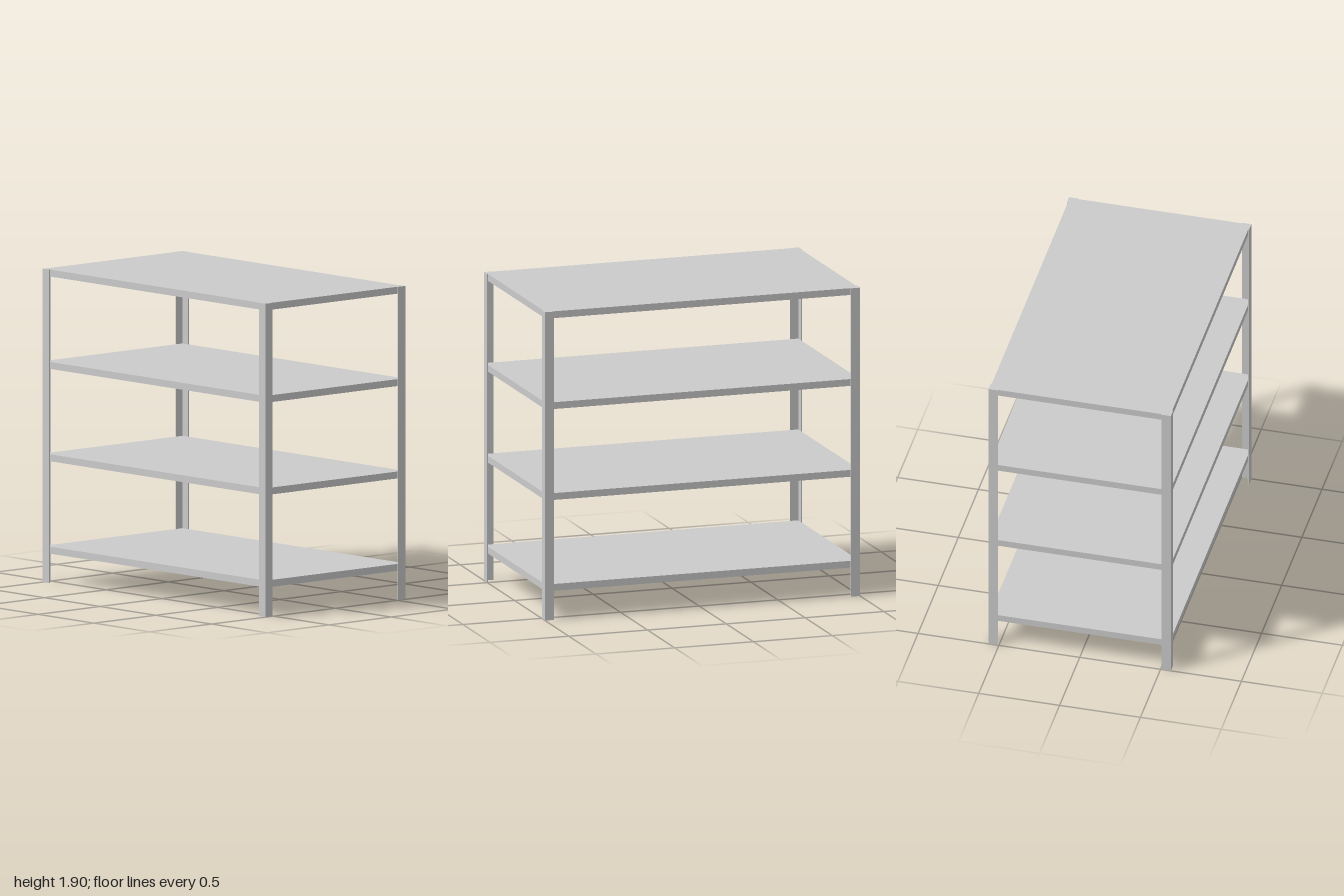
import * as THREE from 'three';

const HALF_W = 1, HALF_D = 0.564, HEIGHT = 1.9;
const FLANGE = 0.058, GAUGE = 0.006, SHELF_T = 0.042;

export function createModel() {
  const group = new THREE.Group();
  group.name = 'shelvingUnit';
  const material = new THREE.MeshStandardMaterial({ color: 0xcccccc, flatShading: true });

  // L-shaped angle section for a corner post, heel at the outer corner
  function postGeometry(sx, sz) {
    const section = [[0, 0], [FLANGE, 0], [FLANGE, GAUGE], [GAUGE, GAUGE], [GAUGE, FLANGE], [0, FLANGE]];
    const shape = new THREE.Shape(section.map(([a, b]) =>
      new THREE.Vector2(sx * (HALF_W - a), -sz * (HALF_D - b))));
    const geometry = new THREE.ExtrudeGeometry(shape, { depth: HEIGHT, bevelEnabled: false });
    return geometry.rotateX(-Math.PI / 2);
  }

  // Four corner posts
  for (const sx of [-1, 1]) {
    for (const sz of [-1, 1]) {
      const post = new THREE.Mesh(postGeometry(sx, sz), material);
      post.name = (sz > 0 ? 'front' : 'back') + (sx > 0 ? 'Left' : 'Right') + 'Post';
      group.add(post);
    }
  }

  // Four evenly spaced shelves, fitted inside the posts
  const shelfGeometry = new THREE.BoxGeometry(2 * (HALF_W - GAUGE), SHELF_T, 2 * (HALF_D - GAUGE));
  for (let i = 0; i < 4; i++) {
    const shelf = new THREE.Mesh(shelfGeometry, material);
    shelf.name = 'shelf' + (i + 1);
    shelf.position.y = HEIGHT - SHELF_T / 2 - (3 - i) * 0.56;
    group.add(shelf);
  }

  return group;
}
